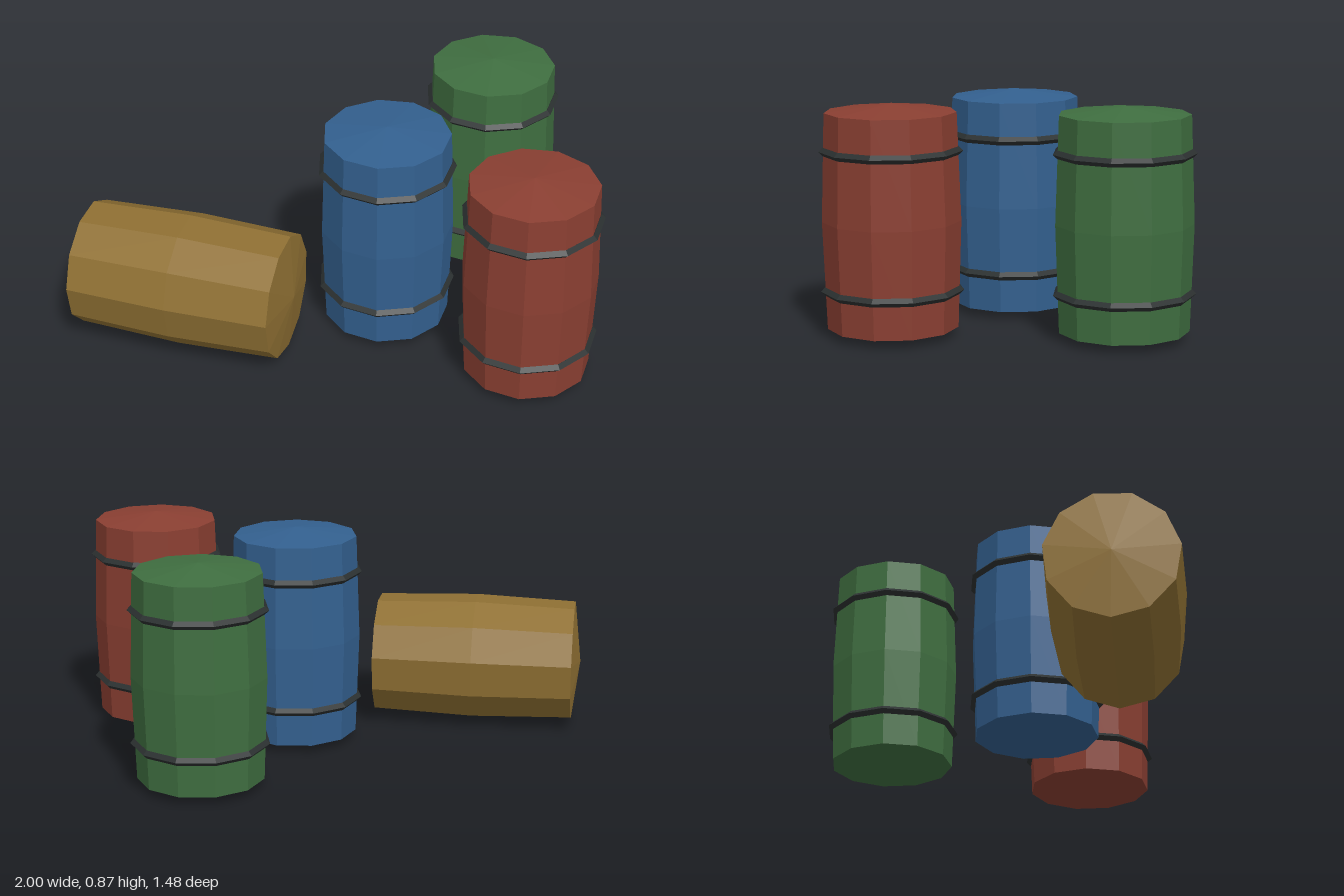
import * as THREE from 'three';

const SIDES = 11;
const HEIGHT = 0.866;

function flatMaterial(name, color) {
  const m = new THREE.MeshStandardMaterial({ color, flatShading: true });
  m.name = name;
  return m;
}

// Bulged barrel with shallow conical ends, centred on the origin along y.
function barrelBody(phiStart) {
  const h = HEIGHT / 2;
  const profile = [[0, -h], [0.2445, -h + 0.03], [0.2585, 0], [0.2445, h - 0.03], [0, h]]
    .map(([r, y]) => new THREE.Vector2(r, y));
  return new THREE.LatheGeometry(profile, SIDES, phiStart, Math.PI * 2);
}

export function createModel() {
  const model = new THREE.Group();
  model.name = 'barrels';

  const blue = flatMaterial('blue', 0x33608f);
  const red = flatMaterial('red', 0x8a3f32);
  const green = flatMaterial('green', 0x3f6e40);
  const ochre = flatMaterial('ochre', 0x8f7033);
  const iron = flatMaterial('dark iron', 0x2b3030);

  // Hoop with a diamond section, its corners in line with the barrel's corners
  const hoopGeometry = new THREE.TorusGeometry(0.251, 0.016, 4, SIDES);
  hoopGeometry.rotateX(Math.PI / 2).rotateY(Math.PI);
  const standingBody = barrelBody(-Math.PI / 2);

  // Standing barrels
  const standing = [
    ['blueBarrel', blue, 0.13, 0.133],
    ['redBarrel', red, 0.739, 0.309],
    ['greenBarrel', green, 0.39, -0.476],
  ];
  for (const [name, material, x, z] of standing) {
    const barrel = new THREE.Group();
    barrel.name = name;
    barrel.position.set(x, 0.438, z);
    const body = new THREE.Mesh(standingBody, material);
    body.name = 'body';
    barrel.add(body);
    for (const [hoopName, y] of [['lowerHoop', -0.261], ['upperHoop', 0.261]]) {
      const hoop = new THREE.Mesh(hoopGeometry, iron);
      hoop.name = hoopName;
      hoop.position.y = y;
      barrel.add(hoop);
    }
    model.add(barrel);
  }

  // Barrel lying on its side, without hoops
  const lying = new THREE.Mesh(barrelBody(THREE.MathUtils.degToRad(6)).rotateZ(Math.PI / 2), ochre);
  lying.name = 'lyingBarrel';
  lying.position.set(-0.567, 0.262, 0.48);
  model.add(lying);

  return model;
}
